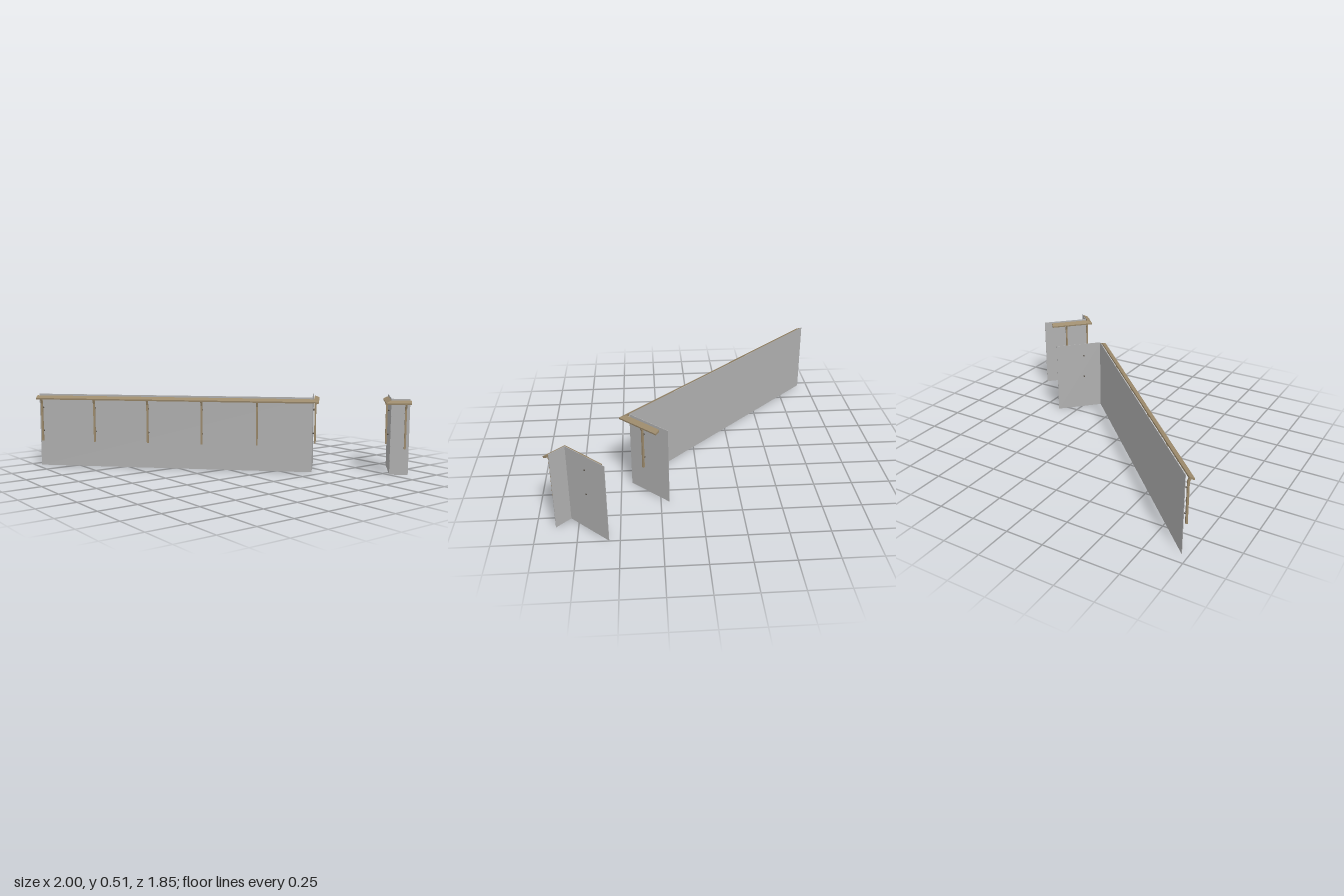
import * as THREE from 'three';

const panelGrey = new THREE.MeshStandardMaterial({ color: 0xb0b0b0 });
panelGrey.name = 'panelGrey';
const railBrown = new THREE.MeshStandardMaterial({ color: 0x9c8a6c });
railBrown.name = 'railBrown';
const pinDark = new THREE.MeshStandardMaterial({ color: 0x5c554c });
pinDark.name = 'pinDark';

// Diagonal plan coordinates: s = x + z, d = z - x
const plan = (s, d, y = 0) => new THREE.Vector3((s - d) / 2, y, (s + d) / 2);

function add(parent, geometry, material, name) {
  const mesh = new THREE.Mesh(geometry, material);
  mesh.name = name;
  parent.add(mesh);
  return mesh;
}

// Thin upright wall between two plan points
function wall(parent, a, b, name) {
  const height = 0.51;
  const mesh = add(parent, new THREE.BoxGeometry(a.distanceTo(b), height, 0.003), panelGrey, name);
  mesh.position.copy(a).add(b).multiplyScalar(0.5);
  mesh.position.y = height / 2;
  mesh.rotation.y = -Math.atan2(b.z - a.z, b.x - a.x);
}

// Sloping top board mitred round the corner; outS tells the outward side of the short leg
function railGeometry(sIn, dIn, sEnd, dEnd, outS) {
  const section = [[0.002, 0.485], [0.045, 0.474], [0.047, 0.484], [0, 0.5]]; // outward offset, height
  const points = [];
  for (const [o, y] of section) points.push(plan(sEnd, dIn + o, y));
  for (const [o, y] of section) points.push(plan(sIn + outS * o, dIn + o, y));
  for (const [o, y] of section) points.push(plan(sIn + outS * o, dEnd, y));
  const index = [];
  const quad = (a, b, c, d) => index.push(a, b, c, a, c, d);
  for (let k = 0; k < 2; k++) {
    for (let i = 0; i < 4; i++) {
      const j = (i + 1) % 4, p = k * 4;
      quad(p + i, p + 4 + i, p + 4 + j, p + j);
    }
  }
  quad(0, 1, 2, 3);
  quad(11, 10, 9, 8);
  // The two corners are mirrored, so reverse the winding for one of them
  if (outS > 0) index.reverse();
  let geometry = new THREE.BufferGeometry().setFromPoints(points);
  geometry.setIndex(index);
  // Make the outer skin face outwards whatever the direction of the run
  const volume = () => {
    let v = 0;
    for (let i = 0; i < index.length; i += 3) {
      const [a, b, c] = [points[index[i]], points[index[i + 1]], points[index[i + 2]]];
      v += a.dot(new THREE.Vector3().crossVectors(b, c));
    }
    return v;
  };
  if (volume() < 0) geometry.setIndex(index.reverse());
  geometry = geometry.toNonIndexed();
  geometry.computeVertexNormals();
  return geometry;
}

// Post with a cranked top and two fixing pins; local +x points away from the wall
function bracket(parent, foot, outX, outZ, reach, through) {
  const group = new THREE.Group();
  group.name = 'bracket';
  const w = 0.006;
  const profile = new THREE.Shape([
    [reach - w, 0.18], [reach + w, 0.18], [reach + w, 0.445],
    [reach + 0.02, 0.48], [reach + 0.006, 0.484], [reach - w, 0.45],
  ].map(([x, y]) => new THREE.Vector2(x, y)));
  const post = new THREE.ExtrudeGeometry(profile, { depth: 2 * w, bevelEnabled: false });
  post.translate(0, 0, -w);
  add(group, post, railBrown, 'post');
  for (const y of [0.25, 0.415]) {
    const pin = add(group, new THREE.CylinderGeometry(0.006, 0.006, reach + through, 8), pinDark, 'fixingPin');
    pin.rotation.z = Math.PI / 2;
    pin.position.set((reach - through) / 2, y, 0);
  }
  group.position.copy(foot);
  group.rotation.y = Math.atan2(-outZ, outX);
  parent.add(group);
}

export function createModel() {
  const model = new THREE.Group();
  model.name = 'wallRails';

  // Long section with a short return
  const long = new THREE.Group();
  long.name = 'longSection';
  const corner = plan(0.825, 0.033);
  wall(long, plan(-1.885, 0.033), corner, 'longWall');
  wall(long, corner, plan(0.825, -0.43), 'returnWall');
  add(long, railGeometry(0.84, 0.058, -1.895, -0.34, 1), railBrown, 'longRail');
  for (let i = 0; i < 5; i++) {
    const x = -0.96 + 0.2685 * i; // post position across the front
    bracket(long, plan(2 * (x + 0.02) + 0.033, 0.033), -1, 1, 0.028, 0);
  }
  bracket(long, plan(0.825, -0.145), 1, 1, 0.018, 0.004);
  model.add(long);

  // Short corner section
  const short = new THREE.Group();
  short.name = 'shortSection';
  const shortCorner = plan(1.56, 0.04);
  wall(short, plan(1.73, 0.04), shortCorner, 'shortWall');
  wall(short, shortCorner, plan(1.56, -0.43), 'sideWall');
  add(short, railGeometry(1.555, 0.054, 1.74, -0.35, -1), railBrown, 'shortRail');
  bracket(short, plan(1.69, 0.04), -1, 1, 0.028, 0);
  bracket(short, plan(1.56, -0.19), -1, -1, 0.018, 0.004);
  model.add(short);

  return model;
}
